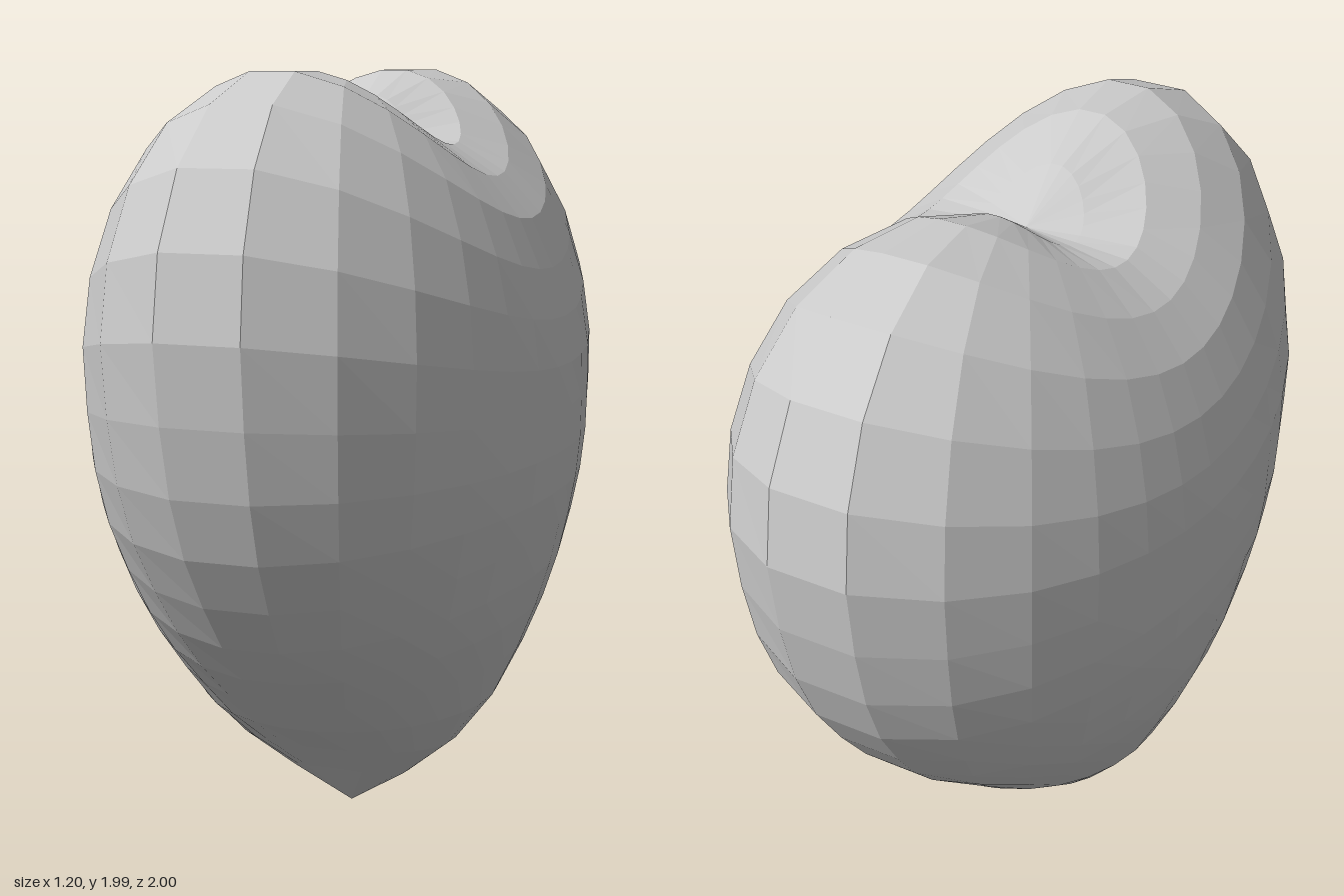
import * as THREE from 'three';

// Distance from the heart's core to its skin, every 10 degrees from top pole to bottom tip
const CORE_Y = 1.04;
const LOBE = [0.78, 0.895, 1.008, 1.094, 1.142, 1.15, 1.12, 1.063, 0.993, 0.94,
  0.893, 0.848, 0.82, 0.803, 0.797, 0.815, 0.845, 0.908, 1.04]; // towards the two lobes (z)
const SIDE = [0.78, 0.785, 0.81, 0.79, 0.757, 0.71, 0.67, 0.637, 0.61, 0.6,
  0.6, 0.61, 0.635, 0.672, 0.725, 0.8, 0.877, 0.95, 1.04]; // towards the flat flanks (x)

export function createModel() {
  const rings = LOBE.length - 1;
  const segments = 30;
  const sphere = new THREE.SphereGeometry(1, segments, rings);
  const position = sphere.attributes.position;
  const v = new THREE.Vector3();

  // Push each sphere vertex out along its own ray, blending the two profiles elliptically
  const lobeSine = Math.sin(THREE.MathUtils.degToRad(84)) ** 2;
  for (let i = 0; i < position.count; i++) {
    v.fromBufferAttribute(position, i);
    const ring = Math.floor(i / (segments + 1));
    const flat = v.x * v.x + v.z * v.z;
    const t = flat > 1e-9 ? (v.z * v.z) / flat / lobeSine : 0;
    const a = 1 / SIDE[ring] ** 2;
    const b = 1 / LOBE[ring] ** 2;
    v.multiplyScalar(1 / Math.sqrt(a + (b - a) * t));
    position.setXYZ(i, v.x, v.y + CORE_Y, v.z * 1.007);
  }

  // Faceted skin
  const geometry = sphere.toNonIndexed();
  geometry.computeVertexNormals();
  const heart = new THREE.Mesh(
    geometry,
    new THREE.MeshStandardMaterial({ color: 0xcccccc, flatShading: true })
  );
  heart.name = 'heart';

  const group = new THREE.Group();
  group.name = 'heartModel';
  group.add(heart);
  return group;
}
